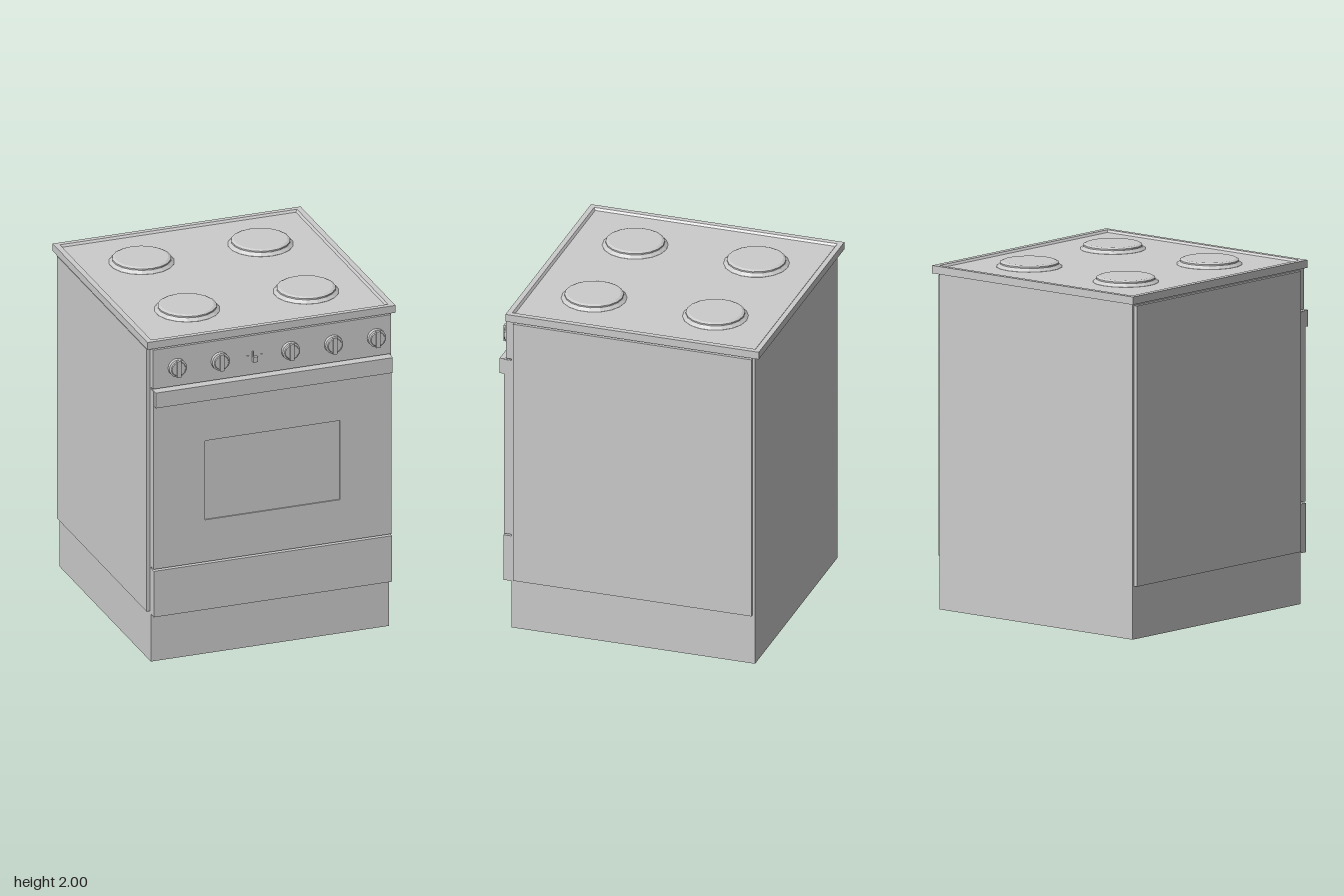
import * as THREE from 'three';

const material = new THREE.MeshStandardMaterial({ color: 0xcccccc, flatShading: true });

function add(parent, name, geometry) {
  const mesh = new THREE.Mesh(geometry, material);
  mesh.name = name;
  parent.add(mesh);
  return mesh;
}

// Box given by its extents on each axis
function box(parent, name, [x0, x1], [y0, y1], [z0, z1]) {
  const mesh = add(parent, name, new THREE.BoxGeometry(x1 - x0, y1 - y0, z1 - z0));
  mesh.position.set((x0 + x1) / 2, (y0 + y1) / 2, (z0 + z1) / 2);
  return mesh;
}

// Stack of rectangular rings [halfX, halfZ, y], closed at both ends
function rectLoft(rings) {
  const positions = [], index = [];
  for (const [hx, hz, y] of rings) {
    positions.push(-hx, y, hz, hx, y, hz, hx, y, -hz, -hx, y, -hz);
  }
  for (let r = 0; r < rings.length - 1; r++) {
    for (let i = 0; i < 4; i++) {
      const a = r * 4 + i, b = r * 4 + (i + 1) % 4;
      index.push(a, b, b + 4, a, b + 4, a + 4);
    }
  }
  const t = (rings.length - 1) * 4;
  index.push(0, 2, 1, 0, 3, 2, t, t + 1, t + 2, t, t + 2, t + 3);
  const geometry = new THREE.BufferGeometry();
  geometry.setAttribute('position', new THREE.Float32BufferAttribute(positions, 3));
  geometry.setIndex(index);
  const flat = geometry.toNonIndexed();
  flat.computeVertexNormals();
  return flat;
}

function rectPath(path, x0, x1, y0, y1) {
  return path.moveTo(x0, y0).lineTo(x1, y0).lineTo(x1, y1).lineTo(x0, y1).closePath();
}

function makeKnob() {
  const knob = new THREE.Group();
  knob.name = 'knob';
  const profile = [[0, 0], [0.053, 0], [0.053, 0.022], [0.043, 0.026], [0.040, 0.032], [0, 0.032]];
  const dial = add(knob, 'knobDial', new THREE.LatheGeometry(profile.map(p => new THREE.Vector2(...p)), 20));
  dial.rotation.x = Math.PI / 2;
  box(knob, 'knobGrip', [-0.012, 0.012], [-0.05, 0.05], [0.01, 0.042]);
  return knob;
}

export function createModel() {
  const stove = new THREE.Group();
  stove.name = 'stove';

  // Cabinet with raised side panels
  box(stove, 'cabinet', [-0.72, 0.72], [0, 1.937], [-0.75, 0.705]);
  for (const s of [-1, 1]) {
    const xs = s < 0 ? [-0.74, -0.71] : [0.71, 0.74];
    box(stove, 'sidePanel', xs, [0.305, 1.92], [-0.735, 0.69]);
  }

  // Cooktop tray with a low rim around a sunken surface
  const top = add(stove, 'cooktop', rectLoft([
    [0.75, 0.757, 1.935], [0.75, 0.757, 1.98],
    [0.717, 0.727, 1.98], [0.707, 0.717, 1.967],
  ]));
  top.position.z = -0.025;

  // Four hot plates
  const plate = [[0.187, 1.965], [0.187, 1.968], [0.172, 1.98], [0.168, 1.985],
    [0.168, 1.993], [0.153, 2.0], [0, 2.0]].map(p => new THREE.Vector2(...p));
  for (const x of [-0.36, 0.36]) {
    for (const z of [-0.39, 0.335]) {
      add(stove, 'hotPlate', new THREE.LatheGeometry(plate, 18)).position.set(x, 0, z);
    }
  }

  // Front: control panel, door with inset window, handle, drawer
  box(stove, 'controlPanel', [-0.72, 0.72], [1.69, 1.93], [0.70, 0.738]);
  const doorShape = rectPath(new THREE.Shape(), -0.72, 0.72, 0.585, 1.68);
  doorShape.holes.push(rectPath(new THREE.Path(), -0.408, 0.408, 0.843, 1.33));
  const door = add(stove, 'ovenDoor', new THREE.ExtrudeGeometry(doorShape, { depth: 0.048, bevelEnabled: false }));
  door.position.z = 0.702;
  box(stove, 'ovenWindow', [-0.408, 0.408], [0.843, 1.33], [0.70, 0.742]);
  box(stove, 'doorHandle', [-0.716, 0.716], [1.588, 1.682], [0.71, 0.778]);
  box(stove, 'drawer', [-0.72, 0.72], [0.292, 0.575], [0.70, 0.754]);

  // Control knobs
  for (const x of [-0.575, -0.315, 0.11, 0.37, 0.63]) {
    const knob = makeKnob();
    knob.position.set(x, 1.805, 0.738);
    stove.add(knob);
  }

  // Small switch between the knobs, with an indicator on each side
  box(stove, 'switchLever', [-0.12, -0.09], [1.77, 1.802], [0.735, 0.758]);
  box(stove, 'switchStem', [-0.12, -0.113], [1.80, 1.835], [0.735, 0.75]);
  for (const x of [-0.147, -0.063]) {
    box(stove, 'switchIndicator', [x - 0.007, x + 0.007], [1.796, 1.81], [0.735, 0.743]);
  }
  return stove;
}
